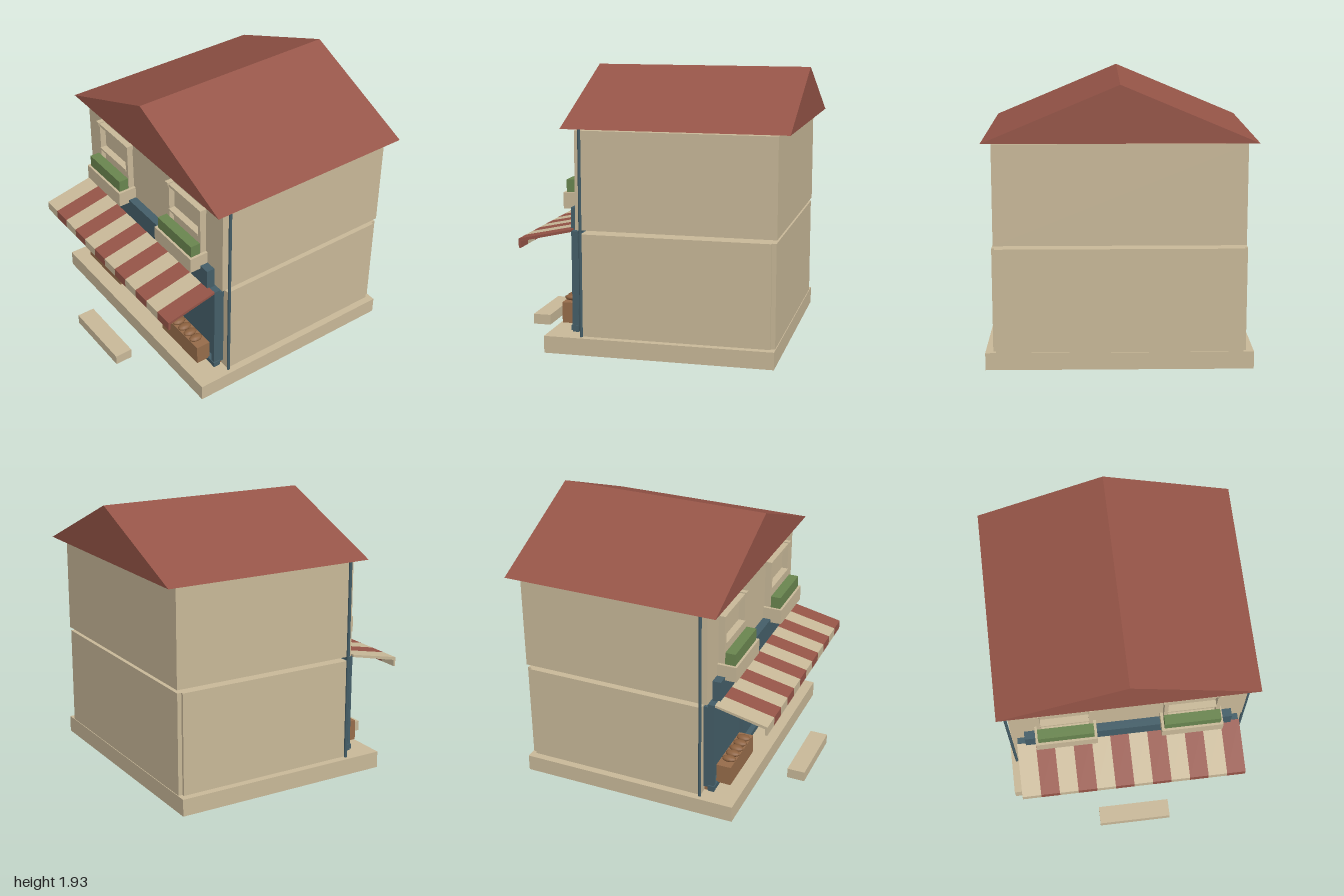
import * as THREE from 'three';

export function createModel() {
  const model = new THREE.Group();
  model.name = 'cornerShop';

  const mat = (name, color) => {
    const m = new THREE.MeshStandardMaterial({ color });
    m.name = name;
    return m;
  };
  const cream = mat('cream plaster', 0xc8b898);
  const red = mat('brick red', 0x955447);
  const teal = mat('dark teal', 0x445e68);
  const wood = mat('crate brown', 0x966c4a);
  const crust = mat('bread crust', 0x8c613f);
  const leaf = mat('leaf green', 0x69854f);

  const add = (parent, name, geometry, material) => {
    const mesh = new THREE.Mesh(geometry, material);
    mesh.name = name;
    parent.add(mesh);
    return mesh;
  };
  // Box given by its minimum and maximum on each axis
  const box = (parent, name, material, x0, x1, y0, y1, z0, z1) => {
    const g = new THREE.BoxGeometry(x1 - x0, y1 - y0, z1 - z0);
    g.translate((x0 + x1) / 2, (y0 + y1) / 2, (z0 + z1) / 2);
    return add(parent, name, g, material);
  };
  const group = (name) => {
    const g = new THREE.Group();
    g.name = name;
    model.add(g);
    return g;
  };
  const polygon = (points) => new THREE.Shape(points.map(([x, y]) => new THREE.Vector2(x, y)));

  // Plinth and loose front step
  box(model, 'plinth', cream, -0.907, 0.907, 0, 0.12, -0.915, 0.685);
  box(model, 'frontStep', cream, -0.27, 0.27, 0.01, 0.085, 0.87, 1);

  // Two storeys, with a narrow gap between them
  box(model, 'lowerWalls', cream, -0.855, 0.855, 0.12, 0.835, -0.88, 0.43);
  box(model, 'backWall', cream, -0.835, 0.835, 0.12, 0.835, -0.91, -0.88);
  box(model, 'upperWalls', cream, -0.842, 0.842, 0.86, 1.54, -0.915, 0.47);

  // Gable roof
  const roof = new THREE.ExtrudeGeometry(
    polygon([[-0.905, 1.555], [0.905, 1.555], [0, 1.935]]),
    { depth: 1.55, bevelEnabled: false });
  roof.translate(0, 0, -1);
  add(model, 'roof', roof, red);

  // Downpipes at the front corners
  for (const s of [-1, 1]) {
    const pipe = add(model, 'downpipe', new THREE.CylinderGeometry(0.011, 0.011, 1.435, 8), teal);
    pipe.position.set(s * 0.867, 0.8375, 0.428);
  }

  // Shopfront: backing, posts, rails, door and handle
  const shop = group('shopfront');
  box(shop, 'threshold', wood, -0.78, 0.78, 0.12, 0.15, 0.43, 0.46);
  box(shop, 'backing', teal, -0.805, 0.805, 0.165, 0.82, 0.43, 0.475);
  box(shop, 'sill', teal, -0.815, 0.815, 0.148, 0.184, 0.465, 0.515);
  box(shop, 'headRail', teal, -0.81, 0.81, 0.78, 0.845, 0.465, 0.51);
  for (const s of [-1, 1]) {
    const at = (name, a, b, ...rest) =>
      box(shop, name, teal, Math.min(s * a, s * b), Math.max(s * a, s * b), ...rest);
    at('cornerPost', 0.775, 0.807, 0.135, 0.845, 0.465, 0.51);
    at('innerPost', 0.22, 0.245, 0.135, 0.845, 0.465, 0.51);
    at('doorStile', 0.2, 0.22, 0.184, 0.8, 0.465, 0.495);
  }
  box(shop, 'doorHandle', teal, 0.125, 0.148, 0.3, 0.49, 0.525, 0.54);
  for (const y of [0.33, 0.46])
    box(shop, 'handleMount', teal, 0.13, 0.143, y - 0.007, y + 0.007, 0.475, 0.525);
  box(shop, 'signBoard', teal, -0.75, 0.75, 0.785, 0.998, 0.47, 0.53);

  // Striped awning with a hanging valance
  const awning = group('awning');
  const profile = polygon([
    [0.515, 0.838], [0.876, 0.757], [0.876, 0.71], [0.892, 0.71], [0.892, 0.775], [0.515, 0.855],
  ]);
  const stripe = 1.63 / 12;
  for (let i = 0; i < 12; i++) {
    const g = new THREE.ExtrudeGeometry(profile, { depth: stripe, bevelEnabled: false });
    g.rotateY(-Math.PI / 2);
    g.translate(-0.815 + (i + 1) * stripe, 0, 0);
    add(awning, i % 2 ? 'redStripe' : 'creamStripe', g, i % 2 ? red : cream);
  }

  // Upper windows with planters, and bread crates below
  for (const s of [-1, 1]) {
    const win = group(s > 0 ? 'leftWindow' : 'rightWindow');
    win.position.x = s * 0.45;
    for (const t of [-1, 1]) {
      const c = t * 0.185;
      box(win, 'windowPost', cream, c - 0.014, c + 0.014, 1.08, 1.43, 0.465, 0.515);
      box(win, 'cornerBlock', cream, t * 0.191 - 0.018, t * 0.191 + 0.018, 1.415, 1.45, 0.465, 0.522);
    }
    box(win, 'windowHead', cream, -0.19, 0.19, 1.422, 1.442, 0.465, 0.515);
    box(win, 'windowBar', cream, -0.175, 0.175, 1.222, 1.236, 0.465, 0.52);
    box(win, 'lowerSash', cream, -0.175, 0.175, 1.08, 1.222, 0.465, 0.48);
    box(win, 'planter', cream, -0.22, 0.22, 0.974, 1.087, 0.47, 0.61);
    box(win, 'hedge', leaf, -0.2, 0.2, 1.085, 1.175, 0.52, 0.593);

    const stall = group('breadStall');
    stall.position.x = s * 0.515;
    box(stall, 'crate', wood, -0.222, 0.222, 0.175, 0.32, 0.5, 0.607);
    for (let i = -2; i <= 2; i++) {
      const loaf = add(stall, 'loaf', new THREE.SphereGeometry(1, 12, 8), crust);
      loaf.scale.set(0.033, 0.021, 0.052);
      loaf.position.set(i * 0.0705, 0.338, 0.563);
    }
  }

  return model;
}
